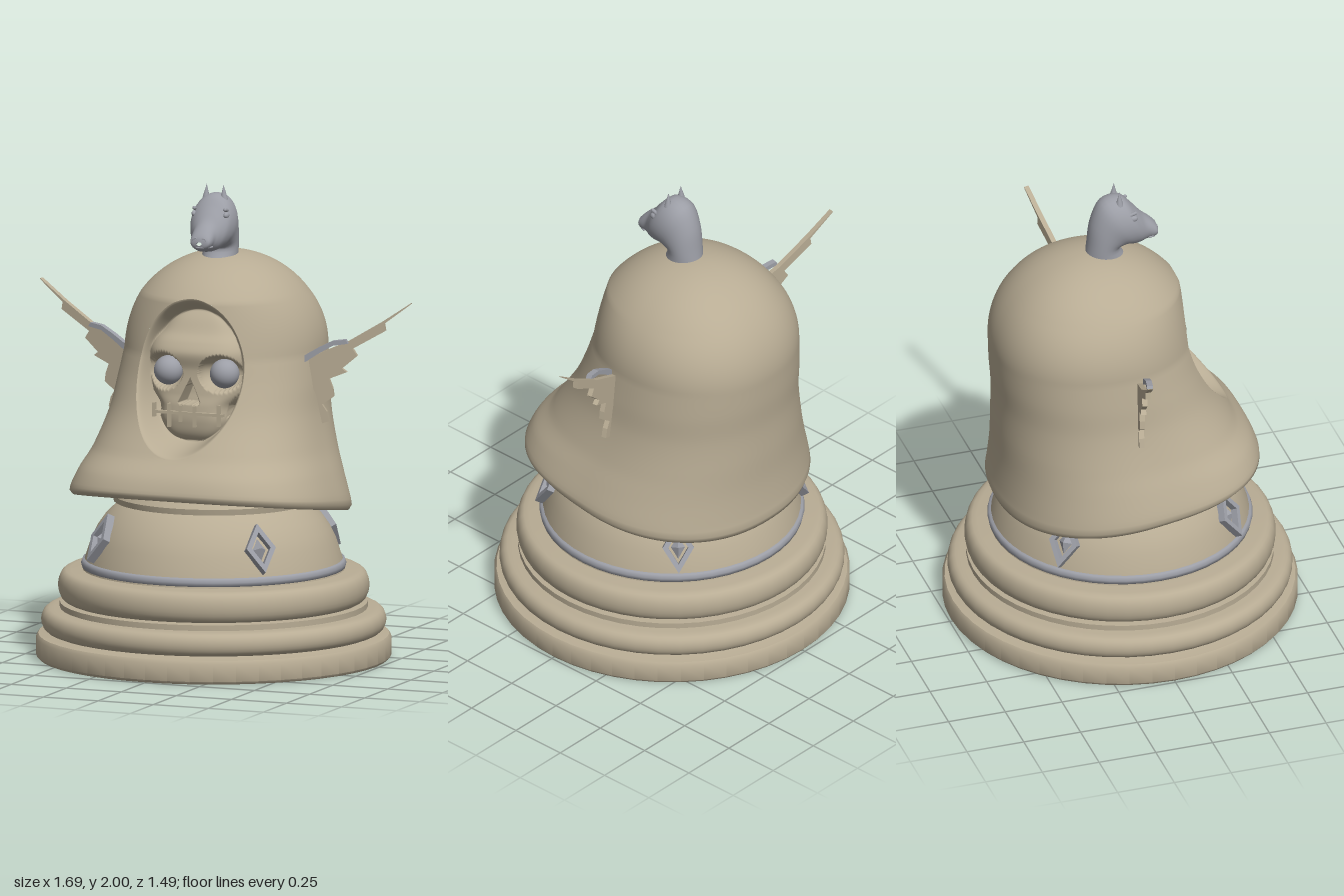
import * as THREE from 'three';
import { toCreasedNormals, mergeVertices } from 'three/addons/utils/BufferGeometryUtils.js';

const stone = new THREE.MeshStandardMaterial({ color: 0xb8ac94 });
stone.name = 'stone';
const metal = new THREE.MeshStandardMaterial({ color: 0x9c9ea6 });
metal.name = 'metal';

const { sqrt, abs, pow, sin, cos, min, max, PI } = Math;

function add(parent, name, geometry, material, x = 0, y = 0, z = 0) {
  const mesh = new THREE.Mesh(geometry, material);
  mesh.name = name;
  mesh.position.set(x, y, z);
  parent.add(mesh);
  return mesh;
}

// Smooth interpolation of rows [key, a, b, ...] sorted by key
function sample(rows, k, col) {
  const n = rows.length - 1;
  if (k <= rows[0][0]) return rows[0][col];
  if (k >= rows[n][0]) return rows[n][col];
  let i = 0;
  while (k > rows[i + 1][0]) i++;
  const slope = (j) => {
    const a = rows[max(j - 1, 0)], b = rows[min(j + 1, n)];
    return (b[col] - a[col]) / (b[0] - a[0]);
  };
  const h = rows[i + 1][0] - rows[i][0], t = (k - rows[i][0]) / h;
  const t2 = t * t, t3 = t2 * t;
  return (2 * t3 - 3 * t2 + 1) * rows[i][col] + (t3 - 2 * t2 + t) * h * slope(i)
    + (3 * t2 - 2 * t3) * rows[i + 1][col] + (t3 - t2) * h * slope(i + 1);
}

// Surface from rings of points; ring(v, u) gives [x, y, z], keep() may drop cells
function loft(V, U, ring, keep = () => true) {
  const pos = [], index = [];
  for (let v = 0; v <= V; v++) for (let u = 0; u < U; u++) pos.push(...ring(v, u));
  for (let v = 0; v < V; v++) for (let u = 0; u < U; u++) {
    const a = v * U + u, b = v * U + (u + 1) % U, c = a + U, d = b + U;
    if (keep(a, b, c, d)) index.push(a, c, b, b, c, d);
  }
  const g = new THREE.BufferGeometry();
  g.setAttribute('position', new THREE.Float32BufferAttribute(pos, 3));
  g.setIndex(index);
  g.computeVertexNormals();
  return g;
}

// Hood cross-section at height y: half width, front z, back z, squareness
const SKIRT = [[0.655, 0.57, 0.55, -0.56], [0.7, 0.565, 0.55, -0.55], [0.8, 0.53, 0.52, -0.54],
  [0.9, 0.49, 0.46, -0.54], [1.05, 0.45, 0.37, -0.54], [1.18, 0.435, 0.32, -0.55], [1.3, 0.42, 0.29, -0.555]];
function hoodSection(y) {
  const n = 2.1 + 0.7 * min(1, max(0, (1.3 - y) / 0.5));
  if (y < 1.3) return [sample(SKIRT, y, 1), sample(SKIRT, y, 2), sample(SKIRT, y, 3), n];
  const k = sqrt(max(0, 1 - ((y - 1.3) / 0.41) ** 2));
  return [0.42 * k, min(-0.125 + 0.45 * k, 0.24 + (1.55 - y) * 0.2), -0.125 - 0.43 * k, n];
}
function hoodFrontZ(x, y) {
  const [w, f, b, n] = hoodSection(y), c = (f + b) / 2;
  return c + (f - c) * pow(max(0, 1 - pow(abs(x) / w, n)), 1 / n);
}

// Oval face opening
const OVAL = { y: 1.225, rx: 0.24, ry: 0.325 };
const ovalRho = (x, y) => sqrt((x / OVAL.rx) ** 2 + ((y - OVAL.y) / OVAL.ry) ** 2);

function hoodGeometry() {
  const V = 72, U = 128, inside = [];
  const lip = [[0.655, 0.975], [0.66, 0.93], [0.7, 0.72]];
  return loft(V + lip.length, U, (v, u) => {
    const s = v / V, a = (u / U) * PI * 2;
    const [y, scale] = v <= V ? [1.71 - 1.035 * pow(s, 1.5), 1] : lip[v - V - 1];
    const [w, f, b, nf] = hoodSection(y), c = (f + b) / 2;
    const n = cos(a) > 0 ? nf : 2.2;
    const r = scale / pow(pow(abs(sin(a)), n) + pow(abs(cos(a)), n), 1 / n);
    let x = w * r * sin(a), py = y, z = c + (f - c) * r * cos(a);
    py += 0.153 * min(1, max(0, (0.9 - y) / 0.245)) * z;
    const rho = ovalRho(x, py), hit = rho < 1 && cos(a) > 0;
    inside.push(hit);
    if (hit && rho > 0.01) {
      x /= rho;
      py = OVAL.y + (py - OVAL.y) / rho;
      z = hoodFrontZ(x, py);
    }
    return [x, py, z];
  }, (...corners) => !corners.every((i) => inside[i]));
}

// Skull relief: height, half width, front depth
const SKULL = [[0.945, 0.06, 0.21], [0.965, 0.11, 0.25], [1.03, 0.152, 0.272], [1.1, 0.158, 0.272],
  [1.15, 0.2, 0.262], [1.25, 0.222, 0.255], [1.32, 0.215, 0.268], [1.365, 0.2, 0.245], [1.4, 0.175, 0.21],
  [1.46, 0.13, 0.17], [1.505, 0.05, 0.13]];
function faceZ(x, y, rho) {
  const t = min(1, (1 - rho) / 0.22), edge = hoodFrontZ(x / max(rho, 0.01), OVAL.y + (y - OVAL.y) / max(rho, 0.01));
  let z = edge + (0.13 - edge) * t * t * (3 - 2 * t);
  if (y < 0.945 || y > 1.505) return z;
  const q = abs(x) / sample(SKULL, y, 1);
  if (q > 1) return z;
  let s = sample(SKULL, y, 2) - 0.9 * x * x - 0.05 * q ** 6;
  const e = ((abs(x) - 0.123) / 0.088) ** 2 + ((y - 1.24) / 0.076) ** 2;
  if (e < 1) s -= 0.1 * sqrt(1 - e);
  if (y > 1.11 && abs(x) < (0.05 * (1.22 - y)) / 0.11) s -= 0.08;
  return max(z, s);
}

function buildFace(parent) {
  const g = new THREE.RingGeometry(0.002, 1, 128, 72), p = g.attributes.position;
  for (let i = 0; i < p.count; i++) {
    const rho = Math.hypot(p.getX(i), p.getY(i));
    const x = p.getX(i) * OVAL.rx, y = OVAL.y + p.getY(i) * OVAL.ry;
    p.setXYZ(i, x, y, faceZ(x, y, rho));
  }
  g.computeVertexNormals();
  add(parent, 'skullFace', g, stone);
  for (const s of [-1, 1]) add(parent, 'skullEye', new THREE.SphereGeometry(0.062, 28, 20), metal, s * 0.127, 1.235, 0.185);
  // Mouth bar and stitches
  add(parent, 'mouthBar', new THREE.BoxGeometry(0.32, 0.012, 0.02), stone, 0, 1.072, 0.276);
  for (const [x, y, h] of [[-0.155, 1.08, 0.06], [-0.085, 1.06, 0.1], [-0.033, 1.07, 0.07], [0.03, 1.06, 0.09], [0.14, 1.07, 0.09]])
    add(parent, 'mouthStitch', new THREE.BoxGeometry(0.012, h, 0.02), stone, x, y, 0.277);
}

// Turned base with two rounded mouldings and a dome
function buildBase(parent) {
  const pts = [[0, 0], [0.735, 0], [0.745, 0.012], [0.745, 0.085], [0.735, 0.1], [0.69, 0.105]];
  const bulge = (y0, y1, r, d) => {
    for (let i = 0; i <= 12; i++) {
      const a = (i / 12 - 0.5) * PI;
      pts.push([r + d * pow(max(0, cos(a)), 0.7), (y0 + y1) / 2 + ((y1 - y0) / 2) * sin(a)]);
    }
  };
  bulge(0.11, 0.21, 0.67, 0.053);
  pts.push([0.645, 0.212], [0.645, 0.236]);
  bulge(0.24, 0.372, 0.6, 0.052);
  pts.push([0.55, 0.376], [0.54, 0.42], [0.53, 0.45], [0.514, 0.5], [0.49, 0.55], [0.455, 0.6], [0.41, 0.645],
    [0.385, 0.66], [0.42, 0.665], [0.425, 0.69], [0.41, 0.71], [0, 0.71]);
  const lathe = new THREE.LatheGeometry(pts.map(([x, y]) => new THREE.Vector2(x, y)), 48);
  add(parent, 'base', toCreasedNormals(lathe, 0.7), stone);
  const band = new THREE.LatheGeometry([[0.53, 0.38], [0.552, 0.383], [0.556, 0.4], [0.55, 0.416], [0.53, 0.42]]
    .map(([x, y]) => new THREE.Vector2(x, y)), 48);
  add(parent, 'baseBand', band, metal);
}

// Diamond ornament: open frame with a faceted gem
function buildDiamond(parent, angle) {
  const rhombus = (w, h) => [[0, -h], [w, 0], [0, h], [-w, 0]].map(([x, y]) => new THREE.Vector2(x, y));
  const shape = new THREE.Shape(rhombus(0.066, 0.108));
  shape.holes.push(new THREE.Path(rhombus(0.042, 0.07)));
  const turn = new THREE.Group();
  turn.name = 'diamondOrnament';
  turn.rotation.y = angle;
  const tilt = new THREE.Group();
  tilt.name = 'diamondTilt';
  tilt.position.set(0, 0.525, 0.5);
  tilt.rotation.x = -0.46;
  add(tilt, 'diamondFrame', new THREE.ExtrudeGeometry(shape, { depth: 0.035, bevelEnabled: false }), metal, 0, 0, -0.005);
  const gem = new THREE.ConeGeometry(1, 0.03, 4).toNonIndexed();
  gem.rotateX(PI / 2).scale(0.03, 0.05, 1).computeVertexNormals();
  add(tilt, 'diamondGem', gem, metal, 0, 0, 0.015);
  turn.add(tilt);
  parent.add(turn);
}

// Feathered wing with a metal trim along its upper edge
const WING = [[0.4, 1.22], [0.445, 1.13], [0.47, 1.01], [0.5, 1.02], [0.49, 1.06], [0.47, 1.09], [0.52, 1.125], [0.515, 1.16],
  [0.5, 1.2], [0.575, 1.23], [0.555, 1.245], [0.62, 1.3], [0.6, 1.33], [0.74, 1.41], [0.735, 1.44], [0.85, 1.527],
  [0.85, 1.531], [0.725, 1.447], [0.58, 1.36], [0.5, 1.325], [0.4, 1.28]];
const TRIM = [[0.4, 1.27], [0.46, 1.31], [0.52, 1.345], [0.585, 1.355], [0.575, 1.372], [0.52, 1.365], [0.46, 1.335], [0.4, 1.3]];
function buildWing(parent, side) {
  const wing = new THREE.Group();
  wing.name = side > 0 ? 'leftWing' : 'rightWing';
  wing.position.set(side * 0.43, 0, -0.05);
  wing.rotation.y = side * 0.21;
  const plate = (pts, depth) => new THREE.ExtrudeGeometry(
    new THREE.Shape(pts.map(([x, y]) => new THREE.Vector2(side * (x - 0.43), y))), { depth, bevelEnabled: false });
  add(wing, 'wingFeathers', plate(WING, 0.022), stone, 0, 0, -0.012);
  add(wing, 'wingTrim', plate(TRIM, 0.025), metal, 0, 0, 0.012);
  parent.add(wing);
}

// Horse head: sections as top z, top y, bottom z, bottom y, half width
const HEAD = [[-0.155, 1.66, 0.03, 1.66, 0.075], [-0.145, 1.74, -0.005, 1.725, 0.077], [-0.13, 1.85, 0.03, 1.735, 0.086],
  [-0.085, 1.945, 0.06, 1.727, 0.095], [-0.005, 1.962, 0.085, 1.728, 0.088], [0.05, 1.912, 0.105, 1.733, 0.068],
  [0.09, 1.865, 0.12, 1.735, 0.053], [0.13, 1.83, 0.138, 1.738, 0.048], [0.154, 1.802, 0.155, 1.75, 0.04],
  [0.161, 1.78, 0.161, 1.765, 0.012]].map((r, i) => [i, ...r]);
function buildHorseHead(parent) {
  const head = new THREE.Group();
  head.name = 'horseHead';
  const V = 36, U = 32;
  const g = loft(V, U, (v, u) => {
    const k = (v / V) * (HEAD.length - 1), a = (u / U) * PI * 2, m = (1 + cos(a)) / 2;
    const [tz, ty, bz, by, w] = [1, 2, 3, 4, 5].map((c) => sample(HEAD, k, c));
    return [w * sin(a), by + (ty - by) * m, bz + (tz - bz) * m];
  });
  g.setIndex([...g.index.array].reverse());
  g.computeVertexNormals();
  // Face the shell outward whichever way the sections run
  const n = g.attributes.normal, mid = 18 * U + 8;
  if (n.getX(mid) < 0) {
    g.setIndex([...g.index.array].reverse());
    g.computeVertexNormals();
  }
  add(head, 'headAndNeck', g, metal);
  for (const s of [-1, 1]) {
    const ear = add(head, 'ear', new THREE.ConeGeometry(0.024, 0.09, 12), metal, s * 0.04, 1.956, -0.015);
    ear.rotation.z = s * 0.05;
    const eye = add(head, 'horseEye', new THREE.SphereGeometry(0.017, 16, 12), metal, s * 0.072, 1.88, 0.035);
    eye.scale.set(0.7, 0.8, 1.2);
    const brow = add(head, 'brow', new THREE.CapsuleGeometry(0.008, 0.035, 4, 10), metal, s * 0.07, 1.9, 0.028);
    brow.rotation.x = 1.3;
    add(head, 'nostril', new THREE.TorusGeometry(0.01, 0.004, 8, 16), metal, s * 0.018, 1.785, 0.154);
  }
  const lip = add(head, 'mouthLine', new THREE.TorusGeometry(0.042, 0.004, 8, 24, PI), metal, 0, 1.756, 0.115);
  lip.rotation.x = PI / 2;
  parent.add(head);
}

export function createModel() {
  const model = new THREE.Group();
  model.name = 'hoodedChessPiece';
  buildBase(model);
  for (let i = 0; i < 4; i++) buildDiamond(model, PI / 4 + (i * PI) / 2);
  add(model, 'hood', hoodGeometry(), stone);
  buildFace(model);
  for (const side of [-1, 1]) buildWing(model, side);
  buildHorseHead(model);
  return model;
}
